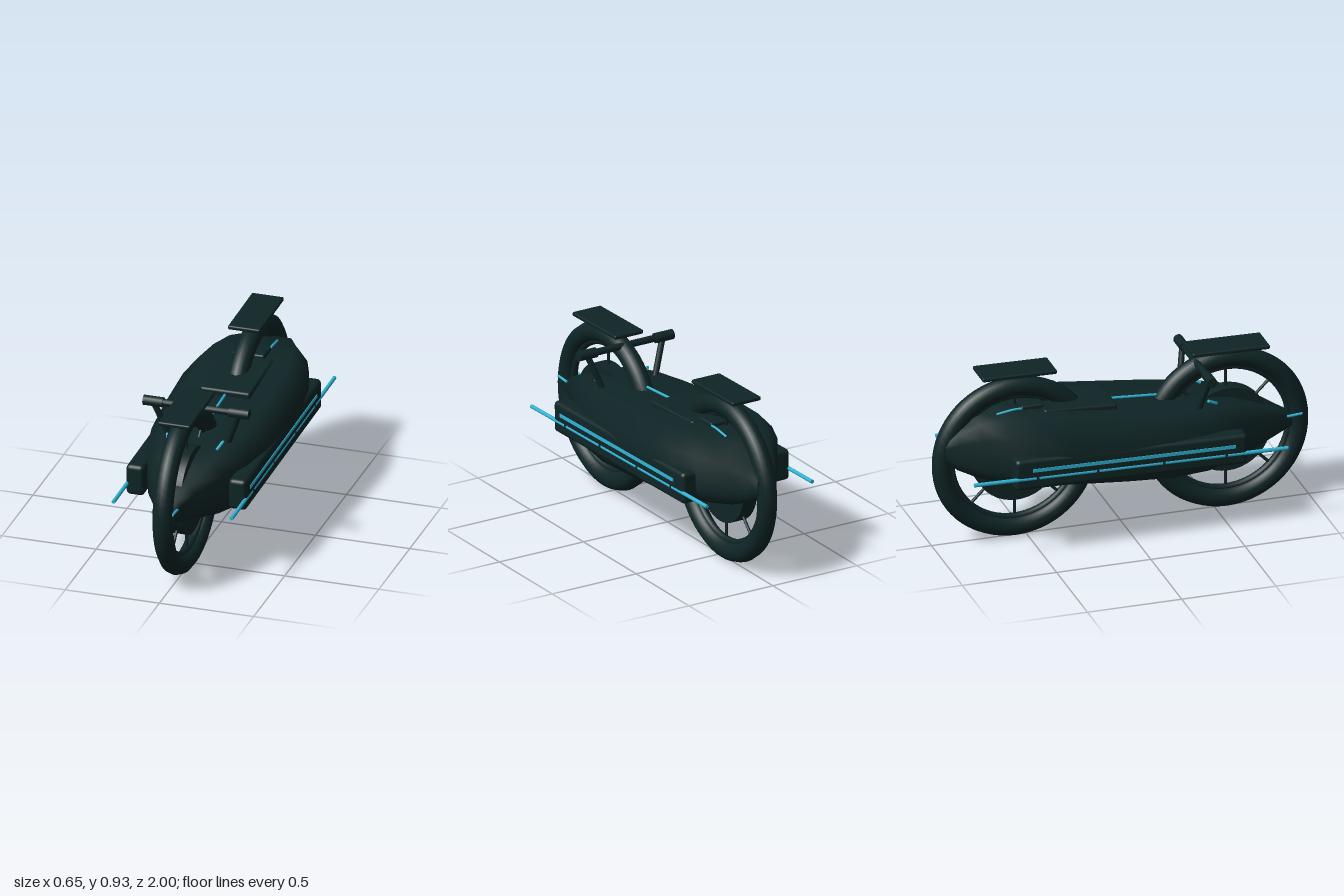
import * as THREE from 'three';
import { RoundedBoxGeometry } from 'three/addons/geometries/RoundedBoxGeometry.js';

const dark = new THREE.MeshStandardMaterial({ color: 0x0f2526 });
dark.name = 'darkTeal';
const glow = new THREE.MeshStandardMaterial({ color: 0x2fb4d6 });
glow.name = 'cyan';

function add(parent, name, geometry, material, x = 0, y = 0, z = 0) {
  const mesh = new THREE.Mesh(geometry, material);
  mesh.name = name;
  mesh.position.set(x, y, z);
  parent.add(mesh);
  return mesh;
}

// Straight round bar between two points
function rod(parent, name, a, b, radius, material, sides = 12) {
  const p = new THREE.Vector3(...a), q = new THREE.Vector3(...b);
  const dir = q.clone().sub(p);
  const mesh = add(parent, name, new THREE.CylinderGeometry(radius, radius, dir.length(), sides), material);
  mesh.position.copy(p).add(q).multiplyScalar(0.5);
  mesh.quaternion.setFromUnitVectors(new THREE.Vector3(0, 1, 0), dir.normalize());
  return mesh;
}

function tube(parent, name, points, radius, material) {
  const curve = new THREE.CatmullRomCurve3(points.map((p) => new THREE.Vector3(...p)));
  return add(parent, name, new THREE.TubeGeometry(curve, 16, radius, 8), material);
}

// Fairing lofted from chamfered cross-sections
function bodyGeometry() {
  const sections = [ // z, half width, bottom, top
    [0.9, 0.045, 0.41, 0.47], [0.84, 0.06, 0.385, 0.505], [0.75, 0.105, 0.36, 0.555],
    [0.57, 0.2, 0.315, 0.62], [0.4, 0.265, 0.297, 0.64], [0.2, 0.305, 0.3, 0.655],
    [-0.05, 0.318, 0.32, 0.68], [-0.35, 0.318, 0.345, 0.715], [-0.52, 0.295, 0.358, 0.728],
    [-0.66, 0.24, 0.37, 0.72], [-0.78, 0.16, 0.39, 0.69], [-0.88, 0.095, 0.43, 0.63],
    [-0.94, 0.055, 0.475, 0.575],
  ];
  const half = [[0.63, 0], [0.88, 0.07], [1, 0.24], [1, 0.76], [0.72, 1]];
  const ring = [...half, ...half.slice().reverse().map(([x, y]) => [-x, y])];
  const n = ring.length, pos = [], idx = [];
  const pushRing = ([z, w, b, t]) => ring.forEach(([x, y]) => pos.push(x * w, b + y * (t - b), z));
  sections.forEach(pushRing);
  for (let i = 0; i < sections.length - 1; i++) {
    for (let j = 0; j < n; j++) {
      const a = i * n + j, b = i * n + (j + 1) % n;
      idx.push(a, a + n, b, b, a + n, b + n);
    }
  }
  // End caps
  [0, sections.length - 1].forEach((s, end) => {
    const o = pos.length / 3;
    pushRing(sections[s]);
    for (let j = 1; j < n - 1; j++) idx.push(o, o + j + (end ? 1 : 0), o + j + (end ? 0 : 1));
  });
  const g = new THREE.BufferGeometry();
  g.setAttribute('position', new THREE.Float32BufferAttribute(pos, 3));
  g.setIndex(idx);
  g.computeVertexNormals();
  return g;
}

// Tyre, rim, hub disc and spokes
function makeWheel(name, z) {
  const wheel = new THREE.Group();
  wheel.name = name;
  wheel.position.set(0, 0.44, z);
  add(wheel, 'tyre', new THREE.TorusGeometry(0.386, 0.052, 10, 64), dark).rotation.y = Math.PI / 2;
  add(wheel, 'rim', new THREE.TorusGeometry(0.335, 0.018, 8, 64), dark).rotation.y = Math.PI / 2;
  add(wheel, 'hub', new THREE.CylinderGeometry(0.228, 0.228, 0.08, 40), dark).rotation.z = Math.PI / 2;
  for (let i = 0; i < 8; i++) {
    const a = i * Math.PI / 4, y = Math.cos(a), s = Math.sin(a);
    rod(wheel, 'spoke', [0, y * 0.2, s * 0.2], [0, y * 0.34, s * 0.34], 0.008, dark, 8);
  }
  return wheel;
}

export function createModel() {
  const model = new THREE.Group();
  model.name = 'motorcycle';
  model.add(makeWheel('frontWheel', 0.56), makeWheel('rearWheel', -0.56));
  add(model, 'body', bodyGeometry(), dark);

  // Flat mudguards above the wheels
  add(model, 'frontMudguard', new RoundedBoxGeometry(0.17, 0.022, 0.41, 2, 0.008), dark, 0, 0.89, 0.565).rotation.x = 0.02;
  add(model, 'rearMudguard', new RoundedBoxGeometry(0.17, 0.022, 0.395, 2, 0.008), dark, 0, 0.915, -0.557).rotation.x = 0.02;

  // Saddle, tail pad and spine light
  add(model, 'saddle', new RoundedBoxGeometry(0.265, 0.045, 0.39, 2, 0.012), dark, 0, 0.698, -0.25).rotation.x = 0.05;
  add(model, 'tailPad', new RoundedBoxGeometry(0.17, 0.035, 0.12, 2, 0.01), dark, 0, 0.729, -0.49);
  rod(model, 'spineLight', [0, 0.667, 0.24], [0, 0.688, -0.08], 0.007, glow, 8);

  // Handlebar
  rod(model, 'handlebar', [-0.27, 0.825, 0.4], [0.27, 0.825, 0.4], 0.018, dark);

  for (const s of [-1, 1]) {
    rod(model, 'grip', [s * 0.175, 0.825, 0.4], [s * 0.28, 0.825, 0.4], 0.026, dark, 16);
    rod(model, 'handlebarStay', [s * 0.225, 0.82, 0.405], [s * 0.155, 0.63, 0.365], 0.016, dark);

    // Side pods with light bars
    const pod = new THREE.Group();
    pod.name = 'sidePod';
    pod.position.set(s * 0.272, 0.462, -0.04);
    pod.rotation.x = 0.019;
    model.add(pod);
    add(pod, 'podShell', new RoundedBoxGeometry(0.095, 0.166, 1.23, 3, 0.022), dark);
    add(pod, 'podLight', new THREE.BoxGeometry(0.009, 0.018, 1.075), glow, s * 0.047, 0.024, 0.012);
    rod(pod, 'lightRod', [s * 0.041, -0.021, 0.83], [s * 0.041, -0.021, -0.835], 0.01, glow);
    for (const z of [0.5, 0.17, -0.18, -0.5]) {
      add(pod, 'rodClip', new THREE.BoxGeometry(0.024, 0.024, 0.012), dark, s * 0.04, -0.021, z);
    }

    // Small accent lights
    rod(model, 'noseLight', [s * 0.052, 0.478, 0.95], [s * 0.052, 0.472, 0.87], 0.007, glow, 8);
    rod(model, 'cowlLight', [s * 0.13, 0.638, 0.47], [s * 0.148, 0.665, 0.42], 0.008, glow, 8);
    tube(model, 'tailLight', [[s * 0.075, 0.728, -0.51], [s * 0.08, 0.735, -0.58], [s * 0.075, 0.718, -0.68]], 0.006, glow);
  }
  return model;
}
